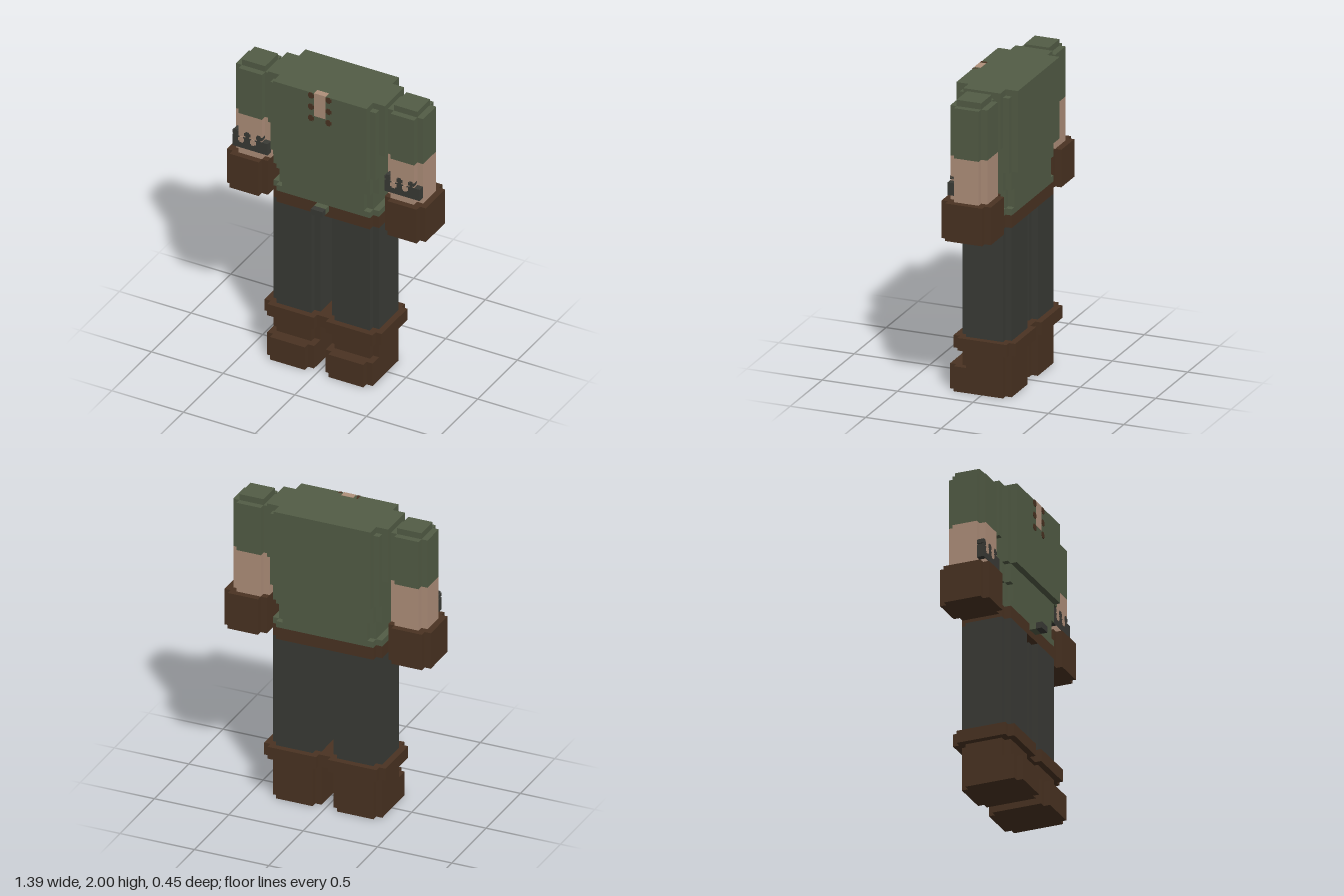
import * as THREE from 'three';

// All part sizes are in voxels; the finished figure is 49 voxels tall.
const U = 2 / 49;

function material(name, color) {
  const m = new THREE.MeshStandardMaterial({ color });
  m.name = name;
  return m;
}

// Rectangle with a square notch cut from every corner
function notchedShape(x0, x1, y0, y1, n) {
  const s = new THREE.Shape();
  [[x0 + n, y0], [x1 - n, y0], [x1 - n, y0 + n], [x1, y0 + n],
    [x1, y1 - n], [x1 - n, y1 - n], [x1 - n, y1], [x0 + n, y1],
    [x0 + n, y1 - n], [x0, y1 - n], [x0, y0 + n], [x0 + n, y0 + n],
  ].forEach(([x, y], i) => (i ? s.lineTo(x, y) : s.moveTo(x, y)));
  s.closePath();
  return s;
}

export function createModel() {
  const green = material('tunic green', 0x535d46);
  const brown = material('leather brown', 0x4a3322);
  const dark = material('dark cloth', 0x3a3b36);
  const skin = material('skin', 0xb0907b);

  const model = new THREE.Group();
  model.name = 'clothedFigure';
  const body = new THREE.Group();
  body.name = 'body';
  body.scale.setScalar(U);
  model.add(body);

  function add(parent, name, geo, mat) {
    const mesh = new THREE.Mesh(geo, mat);
    mesh.name = name;
    parent.add(mesh);
    return mesh;
  }

  // Upright block with notched vertical edges
  function column(parent, name, mat, [x0, x1], [y0, y1], [z0, z1], n = 1) {
    const geo = new THREE.ExtrudeGeometry(notchedShape(x0, x1, -z1, -z0, n), { depth: y1 - y0, bevelEnabled: false });
    geo.rotateX(-Math.PI / 2).translate(0, y0, 0);
    return add(parent, name, geo, mat);
  }

  function box(parent, name, mat, [x0, x1], [y0, y1], [z0, z1]) {
    const geo = new THREE.BoxGeometry(x1 - x0, y1 - y0, z1 - z0);
    geo.translate((x0 + x1) / 2, (y0 + y1) / 2, (z0 + z1) / 2);
    return add(parent, name, geo, mat);
  }

  // One-voxel stud with clipped corners, facing forward
  function stud(parent, name, mat, x, y, z0, z1) {
    const geo = new THREE.ExtrudeGeometry(notchedShape(x, x + 1, y, y + 1, 0.22), { depth: z1 - z0, bevelEnabled: false });
    geo.translate(0, 0, z0);
    return add(parent, name, geo, mat);
  }

  function group(name) {
    const g = new THREE.Group();
    g.name = name;
    body.add(g);
    return g;
  }

  // Tunic and belt
  const torso = group('torso');
  box(torso, 'chest', green, [-8, 8], [36, 49], [-5.5, 4.5]);
  for (const s of [-1, 1]) {
    const span = (a, b) => (s > 0 ? [a, b] : [-b, -a]);
    box(torso, 'chestSide', green, span(8, 9), [36, 48], [-4.5, 3.5]);
    box(torso, 'shoulder', green, span(9, 10), [40, 48], [-3.5, 2.5]);
    box(torso, 'shoulderTop', green, span(8, 10), [48, 49], [-3.5, 2.5]);
  }
  column(torso, 'waist', green, [-9, 9], [33, 36], [-4.5, 3.5]);
  column(torso, 'waistNotch', green, [-8, 8], [30, 33], [-4.5, 3.5]);
  column(torso, 'tunicHem', green, [-9, 9], [29, 30], [-4.5, 3.5]);
  column(torso, 'belt', brown, [-9, 9], [27, 29], [-4.5, 3.5]);
  box(torso, 'buckleBase', green, [-1, 1], [28, 29], [3.5, 4.5]);
  box(torso, 'buckle', dark, [-1, 1], [28, 29], [4.5, 5.5]);

  // Open collar with lacing studs
  box(torso, 'collarOpening', skin, [-1, 1], [45, 49.05], [3.5, 4.55]);
  for (const y of [44, 46, 48]) {
    for (const x of [-2, 1]) stud(torso, 'lacing', brown, x, y, 3.5, 4.6);
  }

  for (const s of [-1, 1]) {
    const side = s > 0 ? 'left' : 'right';
    const span = (a, b) => (s > 0 ? [a, b] : [-b, -a]);

    // Leg and boot
    const leg = group(side + 'Leg');
    column(leg, 'trouserLeg', dark, span(1, 9), [9, 27], [-4.5, 3.5]);
    column(leg, 'bootCuff', brown, span(0, 10), [7, 9], [-5.5, 4.5]);
    column(leg, 'bootShaft', brown, span(1, 9), [4, 7], [-4.5, 3.5]);
    column(leg, 'bootFoot', brown, span(1, 9), [0, 4], [-4.5, 5.5]);

    // Sleeve, forearm and glove
    const arm = group(side + 'Arm');
    box(arm, 'sleeveTop', green, span(11, 15), [48, 49], [-2.5, 1.5]);
    column(arm, 'sleeve', green, span(10, 16), [40, 48], [-3.5, 2.5]);
    column(arm, 'forearm', skin, span(10, 16), [33, 40], [-3.5, 2.5]);
    box(arm, 'gloveInner', brown, span(10, 11), [27, 33], [-3.5, 2.5]);
    box(arm, 'gloveMiddle', brown, span(11, 16), [27, 33], [-4.5, 3.5]);
    box(arm, 'gloveOuter', brown, span(16, 17), [27, 33], [-3.5, 2.5]);

    // Studded wristband across the front of the forearm
    const start = s > 0 ? 10 : -16;
    box(arm, 'wristband', dark, span(10, 16), [34, 36], [1.5, 2.55]);
    for (const i of [0, 2, 4]) stud(arm, 'wristbandStud', dark, start + i, 36, 1.5, 2.55);
    for (const i of [1, 3]) stud(arm, 'wristbandGap', skin, start + i, 35, 2.4, 2.62);
  }

  return model;
}
